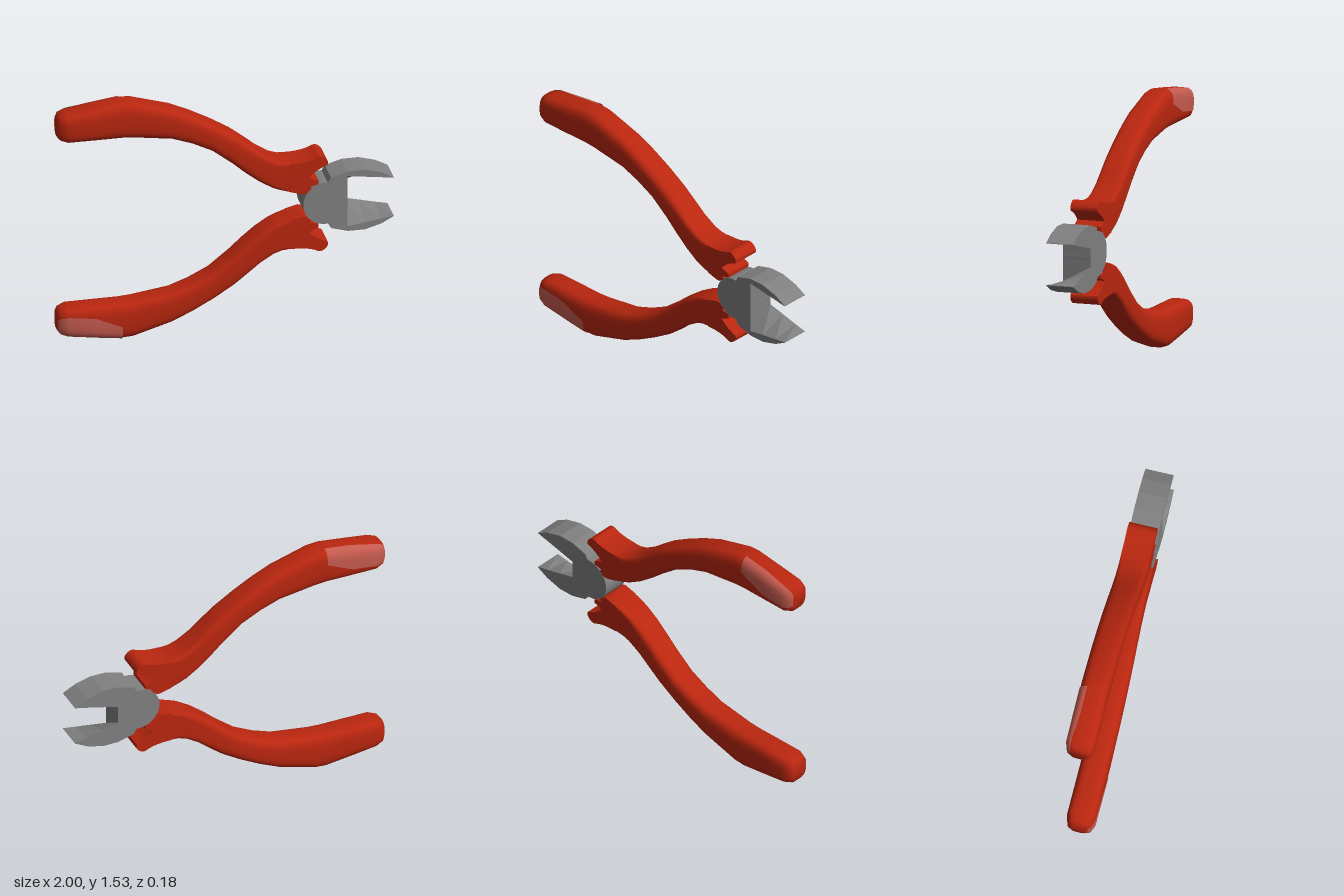
import * as THREE from 'three';
import { toCreasedNormals } from 'three/addons/utils/BufferGeometryUtils.js';

const MID = 0.762; // height of the pivot
const HALF = 0.085; // half thickness

// Skin a row of closed rings, running along +x, with capped ends.
function loft(rings, flip = false) {
  if (flip) rings = rings.map(r => r.map(([x, y, z]) => [x, 2 * MID - y, z]).reverse());
  const pos = [], n = rings[0].length;
  const tri = (a, b, c) => pos.push(...a, ...b, ...c);
  for (let i = 0; i < rings.length - 1; i++) {
    const p = rings[i], q = rings[i + 1];
    for (let j = 0; j < n; j++) {
      const k = (j + 1) % n;
      tri(p[j], q[j], p[k]);
      tri(q[j], q[k], p[k]);
    }
  }
  const a = rings[0], b = rings[rings.length - 1];
  for (let j = 1; j < n - 1; j++) {
    tri(a[0], a[j], a[j + 1]);
    tri(b[0], b[j + 1], b[j]);
  }
  return fromPositions(pos);
}

function fromPositions(pos) {
  const g = new THREE.BufferGeometry();
  g.setAttribute('position', new THREE.Float32BufferAttribute(pos, 3));
  g.computeVertexNormals();
  return g;
}

// Grip stations: x, top, bottom, half thickness, corner exponent (small = boxy)
const GRIP = [
  [-1.0, 1.445, 1.33, 0.05, 0.7],
  [-0.985, 1.465, 1.312, 0.07, 0.62],
  [-0.94, 1.478, 1.298, HALF, 0.56],
  [-0.78, 1.503, 1.296, HALF, 0.56],
  [-0.62, 1.525, 1.295, HALF, 0.56],
  [-0.55, 1.52, 1.29, HALF, 0.56],
  [-0.32, 1.45, 1.258, HALF, 0.56],
  [-0.2, 1.395, 1.215, HALF, 0.56],
  [-0.08, 1.33, 1.155, HALF, 0.56],
  [0.04, 1.255, 1.06, HALF, 0.52],
  [0.12, 1.19, 0.99, HALF, 0.45],
  [0.2, 1.12, 0.93, HALF, 0.35],
  [0.28, 1.065, 0.885, HALF, 0.22],
  [0.33, 1.045, 0.868, HALF, 0.14],
  [0.38, 1.037, 0.855, HALF, 0.06],
];

function gripPoint([x, top, bottom, half, e], angle, grow = 0) {
  const c = Math.cos(angle), s = Math.sin(angle);
  const p = v => Math.sign(v) * Math.pow(Math.abs(v), e);
  return [x, (top + bottom) / 2 + ((top - bottom) / 2 + grow) * p(s), (half + grow) * p(c)];
}

function gripGeometry() {
  const n = 32;
  const rings = GRIP.map(st => Array.from({ length: n }, (_, j) => gripPoint(st, (j + 0.5) / n * Math.PI * 2)));
  return toCreasedNormals(loft(rings), 0.7);
}

// Worn patch: thin skin over the grip end, with start and end angle per station
function patchGeometry() {
  const spans = [[145, 194], [125, 196], [115, 196], [104, 188], [104, 176]];
  const steps = 12, pos = [];
  const rows = spans.map(([a, b], i) => Array.from({ length: steps + 1 }, (_, j) =>
    gripPoint(GRIP[i], THREE.MathUtils.degToRad(a + (b - a) * j / steps), 0.004)));
  for (let i = 0; i < rows.length - 1; i++) {
    for (let j = 0; j < steps; j++) {
      const p = rows[i], q = rows[i + 1];
      pos.push(...p[j], ...q[j], ...p[j + 1], ...q[j], ...q[j + 1], ...p[j + 1]);
    }
  }
  return toCreasedNormals(fromPositions(pos), 0.7);
}

// Finger guard with its thumb horn and small inner notch
function guardGeometry() {
  const s = new THREE.Shape();
  s.moveTo(0.38, 0.855);
  s.lineTo(0.455, 0.835);
  s.lineTo(0.475, 0.838);
  s.lineTo(0.505, 0.865);
  s.lineTo(0.49, 0.878);
  s.lineTo(0.545, 0.89);
  s.lineTo(0.545, 0.915);
  s.lineTo(0.515, 0.925);
  s.lineTo(0.49, 0.938);
  s.quadraticCurveTo(0.53, 0.985, 0.6, 1.01);
  s.quadraticCurveTo(0.61, 1.035, 0.585, 1.055);
  s.quadraticCurveTo(0.56, 1.078, 0.535, 1.062);
  s.quadraticCurveTo(0.48, 1.035, 0.38, 1.037);
  const g = new THREE.ExtrudeGeometry(s, { depth: HALF * 2, bevelEnabled: false, curveSegments: 6 });
  g.translate(0, 0, -HALF);
  return toCreasedNormals(g, 0.6);
}

// Jaw stations: x, outer edge, inner edge at the front, inner edge at the back
function jawGeometry(flip) {
  const rows = [
    [0.6, 0.89, MID, MID], [0.62, 0.926, MID, MID], [0.72, 0.955, MID, MID],
    [0.72, 0.955, 0.925, 0.818], [0.82, 0.956, 0.91, 0.843],
    [0.92, 0.928, 0.896, 0.868], [0.995, 0.888, 0.885, 0.885],
  ];
  return loft(rows.map(([x, out, front, back]) =>
    [[x, front, HALF], [x, out, HALF], [x, out, -HALF], [x, back, -HALF]]), flip);
}

export function createModel() {
  const red = new THREE.MeshStandardMaterial({ color: 0xb9260f });
  red.name = 'red grip';
  const worn = new THREE.MeshStandardMaterial({ color: 0xc45a4e });
  worn.name = 'worn red';
  worn.side = THREE.DoubleSide;
  const steel = new THREE.MeshStandardMaterial({ color: 0x808080 });
  steel.name = 'grey steel';

  const model = new THREE.Group();
  model.name = 'cuttingPliers';
  const add = (parent, name, geometry, material) => {
    const m = new THREE.Mesh(geometry, material);
    m.name = name;
    parent.add(m);
  };

  // Two handles, the lower one turned half a turn about the long axis
  const grip = gripGeometry(), guard = guardGeometry(), patch = patchGeometry();
  for (const name of ['upperHandle', 'lowerHandle']) {
    const handle = new THREE.Group();
    handle.name = name;
    add(handle, 'grip', grip, red);
    add(handle, 'fingerGuard', guard, red);
    add(handle, 'wornPatch', patch, worn);
    if (name === 'lowerHandle') {
      handle.rotation.x = Math.PI;
      handle.position.y = 2 * MID;
    }
    model.add(handle);
  }

  // Pivot body and cutting jaws
  const disc = new THREE.CylinderGeometry(0.133, 0.133, HALF * 2, 40);
  disc.rotateX(Math.PI / 2).translate(0.588, MID, 0);
  add(model, 'pivotBody', disc, steel);
  add(model, 'upperJaw', jawGeometry(false), steel);
  add(model, 'lowerJaw', jawGeometry(true), steel);
  return model;
}
